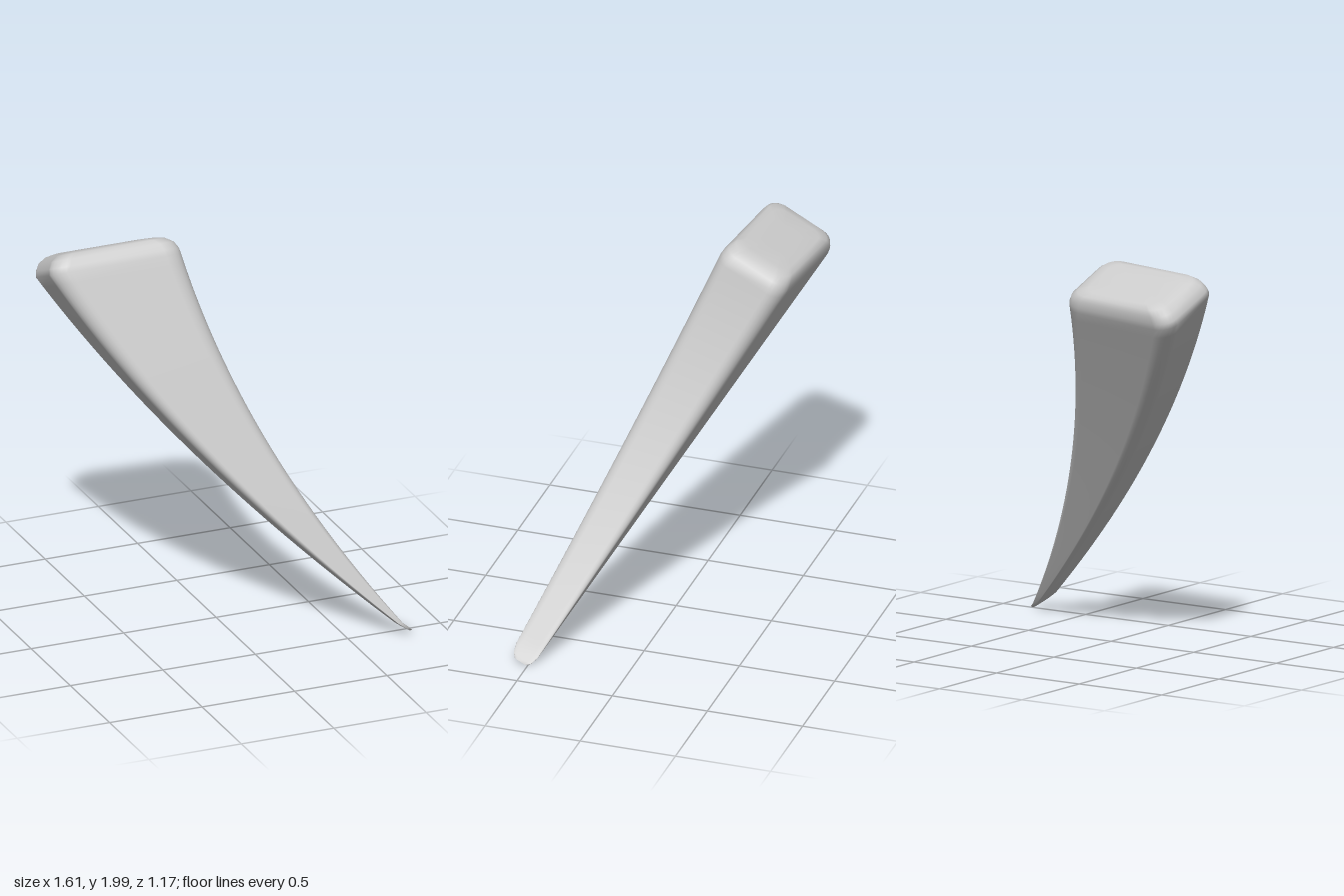
import * as THREE from 'three';

const lerp = THREE.MathUtils.lerp;

// x of the two curved sides as a function of height
const leftSide = (y) => 0.80 - 1.16 * y + 0.155 * y * y;
const rightSide = (y) => 0.82 - 0.775 * y + 0.155 * y * y;

// straight front and back edges, as [y, z] at the tip and at the thick end
const FRONT = [[0.075, 0.585], [1.93, -0.165]];
const BACK = [[0.03, 0.46], [1.74, -0.578]];
const AXIS = [0.9, -0.43];

// rounded rectangle in the unit square: p runs across, q from back to front
function roundedSection(rp, rq, steps) {
  const points = [];
  for (let corner = 0; corner < 4; corner++) {
    const cp = corner === 0 || corner === 3 ? 1 - rp : rp;
    const cq = corner < 2 ? 1 - rq : rq;
    for (let i = 0; i <= steps; i++) {
      const a = (corner + i / steps) * Math.PI / 2;
      points.push([cp + rp * Math.cos(a), cq + rq * Math.sin(a)]);
    }
  }
  return points;
}

// one point of the body; h pushes it past either end along the axis
function bodyPoint(t, p, q, h) {
  const edge = (e, k) => lerp(e[0][k], e[1][k], t);
  // the section leans: front left corner set back, back right corner set forward
  const lean = t * (0.07 * p * (1 - q) - 0.06 * (1 - p) * q);
  const y = lerp(edge(BACK, 0), edge(FRONT, 0), q) - lean * AXIS[1];
  const z = lerp(edge(BACK, 1), edge(FRONT, 1), q) + lean * AXIS[0];
  const x = lerp(leftSide(y) + (0.02 + 0.04 * t) * q, rightSide(y), p);
  const drift = h < 0 ? -1.2 * h : 0;
  return [x + drift, y + h * AXIS[0], z + h * AXIS[1]];
}

function hornGeometry() {
  const section = roundedSection(0.14, 0.2, 6);
  const n = section.length;

  // rings: [t, scale across, scale in depth, offset along the axis]
  const rings = [[0, 0, 0, -0.045], [0, 0.5, 0.5, -0.045], [0, 0.8, 0.8, -0.03]];
  const count = 36;
  for (let i = 0; i <= count; i++) rings.push([i / count, 1, 1, 0]);
  rings.push(
    [1, 0.985, 0.985, 0.03],
    [1, 0.93, 0.93, 0.065],
    [1, 0.82, 0.84, 0.09],
    [1, 0.66, 0.68, 0.1],
    [1, 0.3, 0.3, 0.1],
    [1, 0, 0, 0.1],
  );

  const positions = [];
  for (const [t, sp, sq, h] of rings) {
    for (const [p, q] of section) {
      positions.push(...bodyPoint(t, 0.5 + (p - 0.5) * sp, 0.5 + (q - 0.5) * sq, h));
    }
  }

  const index = [];
  for (let k = 0; k < rings.length - 1; k++) {
    for (let i = 0; i < n; i++) {
      const a = k * n + i;
      const b = k * n + (i + 1) % n;
      if (k > 0) index.push(a, a + n, b);
      else index.push(a, a + n, b + n);
      if (k > 0 && k < rings.length - 2) index.push(b, a + n, b + n);
    }
  }

  const geometry = new THREE.BufferGeometry();
  geometry.setAttribute('position', new THREE.Float32BufferAttribute(positions, 3));
  geometry.setIndex(index);
  geometry.computeVertexNormals();
  return geometry;
}

export function createModel() {
  const group = new THREE.Group();
  group.name = 'curvedHorn';
  const horn = new THREE.Mesh(hornGeometry(), new THREE.MeshStandardMaterial({ color: 0xcccccc }));
  horn.name = 'horn';
  group.add(horn);
  return group;
}
